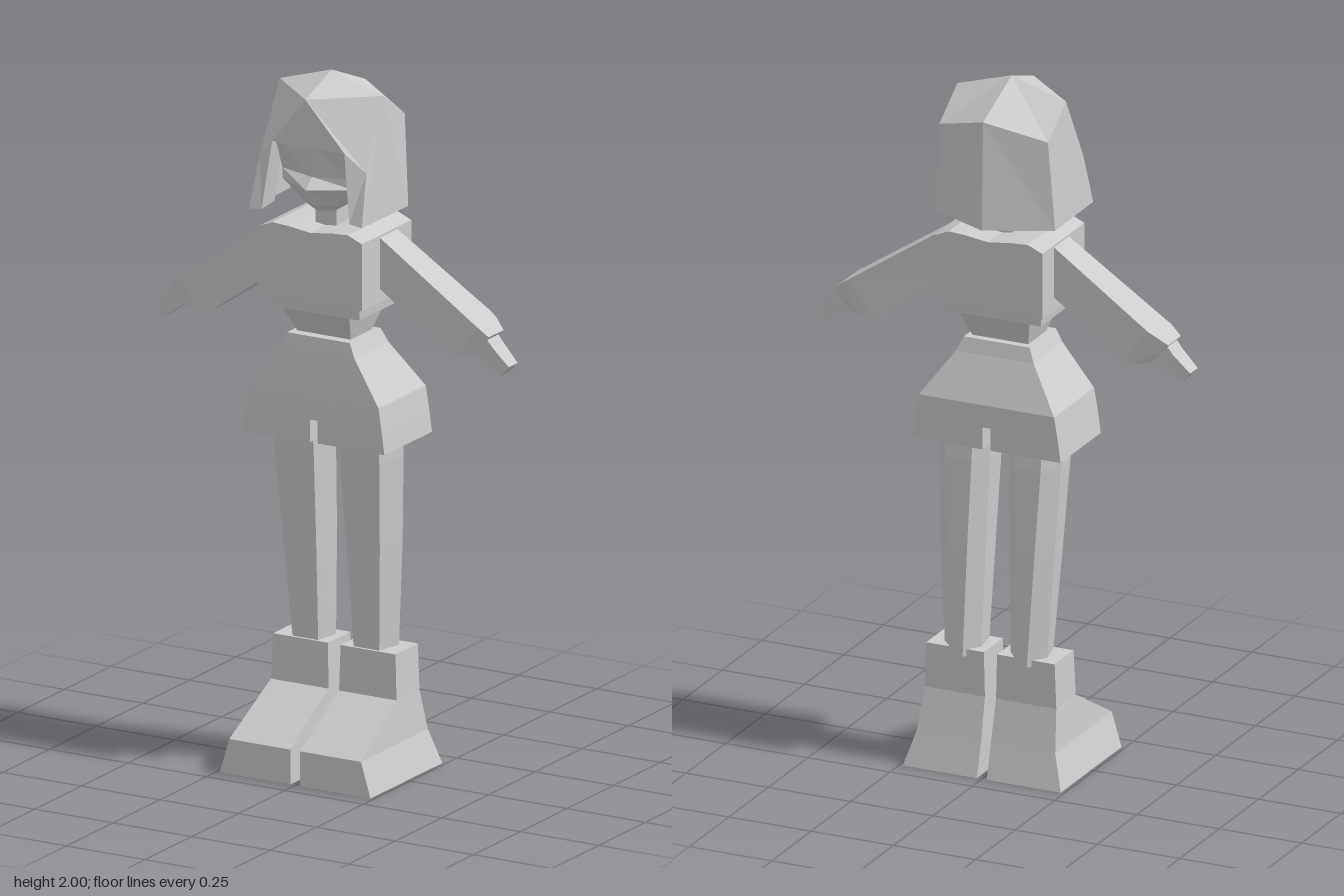
import * as THREE from 'three';

const grey = new THREE.MeshStandardMaterial({ color: 0xcccccc });
grey.name = 'plain grey';
grey.flatShading = true;
grey.side = THREE.DoubleSide;

// Geometry from triangles of points
function fromTriangles(tris) {
  const g = new THREE.BufferGeometry();
  g.setAttribute('position', new THREE.Float32BufferAttribute(tris.flat(2), 3));
  g.computeVertexNormals();
  return g;
}

// Closed solid through a list of point rings, wound outward by its signed volume
function loft(rings) {
  const tris = [];
  const n = rings[0].length;
  for (let r = 0; r < rings.length - 1; r++) {
    for (let i = 0; i < n; i++) {
      const j = (i + 1) % n;
      const [a, b, c, d] = [rings[r][i], rings[r][j], rings[r + 1][j], rings[r + 1][i]];
      tris.push([a, b, c], [a, c, d]);
    }
  }
  const end = rings[rings.length - 1];
  for (let i = 1; i < n - 1; i++) {
    tris.push([rings[0][0], rings[0][i + 1], rings[0][i]], [end[0], end[i], end[i + 1]]);
  }
  let volume = 0;
  for (const [a, b, c] of tris) {
    volume += new THREE.Vector3(...a).dot(new THREE.Vector3(...b).cross(new THREE.Vector3(...c)));
  }
  return fromTriangles(volume < 0 ? tris.map(([a, b, c]) => [a, c, b]) : tris);
}

// Rectangular ring at height y
const rect = ([y, x0, x1, z0, z1]) => [[x0, y, z0], [x1, y, z0], [x1, y, z1], [x0, y, z1]];
const mirror = (points, s) => points.map(([x, y, z]) => [x * s, y, z]);

export function createModel() {
  const model = new THREE.Group();
  const add = (name, geometry) => {
    const mesh = new THREE.Mesh(geometry, grey);
    mesh.name = name;
    model.add(mesh);
  };

  for (const [side, s] of [['left', 1], ['right', -1]]) {
    // Wedge boots
    add(side + 'Boot', loft([
      [0, 0.015, 0.24, -0.19, 0.195], [0.1, 0.015, 0.21, -0.163, 0.195],
      [0.22, 0.017, 0.2, -0.135, -0.012], [0.35, 0.02, 0.195, -0.135, -0.015],
    ].map((l) => mirror(rect(l), s))));

    // Six-sided legs: y, inner x, outer x, front z, widest z, back z
    add(side + 'Leg', loft([
      [0.33, 0.045, 0.155, -0.025, -0.1, -0.145],
      [0.65, 0.036, 0.173, 0.002, -0.09, -0.135],
      [0.9, 0.03, 0.185, 0.025, -0.075, -0.12],
      [1.0, 0.03, 0.185, 0.033, -0.07, -0.11],
    ].map(([y, a, b, zf, zm, zb]) => mirror([
      [a + 0.012, y, zf], [b - 0.018, y, zf], [b, y, zm],
      [b - 0.04, y, zb], [a + 0.035, y, zb], [a, y, zm],
    ], s))));

    // Shorts legs, either side of the slit
    add(side + 'ShortsLeg', loft([
      [0.955, 0.012, 0.225, -0.16, 0.095], [1.02, 0.012, 0.216, -0.16, 0.095],
    ].map((l) => mirror(rect(l), s))));

    // Sleeve, cuff and hand: top x y, bottom x y, back z, front z
    const limb = (name, rows) => add(side + name, loft(rows.map(([tx, ty, bx, by, zb, zf]) =>
      mirror([[tx, ty, zb], [tx, ty, zf], [bx, by, zf], [bx, by, zb]], s))));
    limb('Sleeve', [
      [0.14, 1.565, 0.14, 1.42, -0.075, 0.018],
      [0.455, 1.355, 0.375, 1.255, -0.09, 0.02],
    ]);
    limb('Cuff', [
      [0.455, 1.355, 0.375, 1.255, -0.09, 0.02],
      [0.475, 1.342, 0.415, 1.25, -0.085, 0.02],
      [0.508, 1.315, 0.46, 1.26, -0.068, 0.012],
    ]);
    limb('Hand', [
      [0.495, 1.31, 0.455, 1.265, -0.055, 0.006],
      [0.515, 1.285, 0.485, 1.245, -0.055, 0.004],
      [0.565, 1.235, 0.538, 1.205, -0.048, 0],
    ]);
  }

  // Shorts, midriff and shirt hem
  const stack = (name, levels) => add(name,
    loft(levels.map(([y, x, zb, zf]) => rect([y, -x, x, zb, zf]))));
  stack('shorts', [
    [1.02, 0.216, -0.16, 0.095], [1.085, 0.205, -0.16, 0.093],
    [1.21, 0.118, -0.107, 0.076], [1.25, 0.1, -0.095, 0.07],
  ]);
  stack('midriff', [[1.24, 0.082, -0.068, 0.035], [1.335, 0.11, -0.115, 0.09]]);
  stack('shirtHem', [[1.33, 0.148, -0.125, 0.1], [1.37, 0.152, -0.128, 0.103]]);
  stack('neck', [[1.53, 0.034, -0.065, 0.03], [1.67, 0.034, -0.065, 0.03]]);

  // Shirt with a dipped neckline
  const outline = [[-0.165, 1.363], [0.165, 1.363], [0.165, 1.555], [0.12, 1.574],
    [0.07, 1.571], [0, 1.562], [-0.07, 1.571], [-0.12, 1.574], [-0.165, 1.555]];
  const shirt = new THREE.ExtrudeGeometry(
    new THREE.Shape(outline.map(([x, y]) => new THREE.Vector2(x, y))),
    { depth: 0.265, bevelEnabled: false });
  shirt.translate(0, 0, -0.15);
  add('shirt', shirt);

  // Head: y, half width, centre front z, side front z, back z
  add('head', loft([
    [1.615, 0.04, 0.075, 0.045, -0.03], [1.635, 0.06, 0.1, 0.055, -0.07],
    [1.69, 0.114, 0.138, 0.07, -0.1], [1.72, 0.115, 0.105, 0.07, -0.1],
    [1.82, 0.115, 0.125, 0.11, -0.1],
  ].map(([y, w, zc, zs, zb]) => [[w, y, zb], [w, y, zs], [0, y, zc], [-w, y, zs], [-w, y, zb]])));

  // Hair: one half as flat panels, then mirrored
  const crown = [0, 2, 0], crownSide = [0.165, 1.95, 0];
  const front = [0, 1.95, 0.14], back = [0, 1.925, -0.182], backSide = [0.165, 1.87, -0.115];
  const temple = [0.17, 1.755, 0.1], fringeMid = [0, 1.81, 0.14], fringe = [0.115, 1.81, 0.125];
  const lockIn = [0.14, 1.615, 0.14], lockOut = [0.18, 1.61, 0.14];
  const hemSide = [0.182, 1.61, -0.105], hemBack = [0, 1.61, -0.19];
  const lockInner = [0.14, 1.62, 0.07], fringeInner = [0.115, 1.81, 0.06];
  const panels = [
    [crown, front, crownSide], [crown, crownSide, backSide, back],
    [back, backSide, hemSide, hemBack],
    [crownSide, temple, lockOut, hemSide, backSide],
    [front, temple, crownSide], [front, fringeMid, fringe, temple],
    [temple, fringe, lockIn, lockOut], [fringe, fringeInner, lockInner, lockIn],
  ];
  const half = panels.flatMap((p) => p.slice(2).map((_, i) => [p[0], p[i + 1], p[i + 2]]));
  const otherHalf = half.map(([a, b, c]) => mirror([a, c, b], -1));
  add('hair', fromTriangles([...half, ...otherHalf]));

  return model;
}
